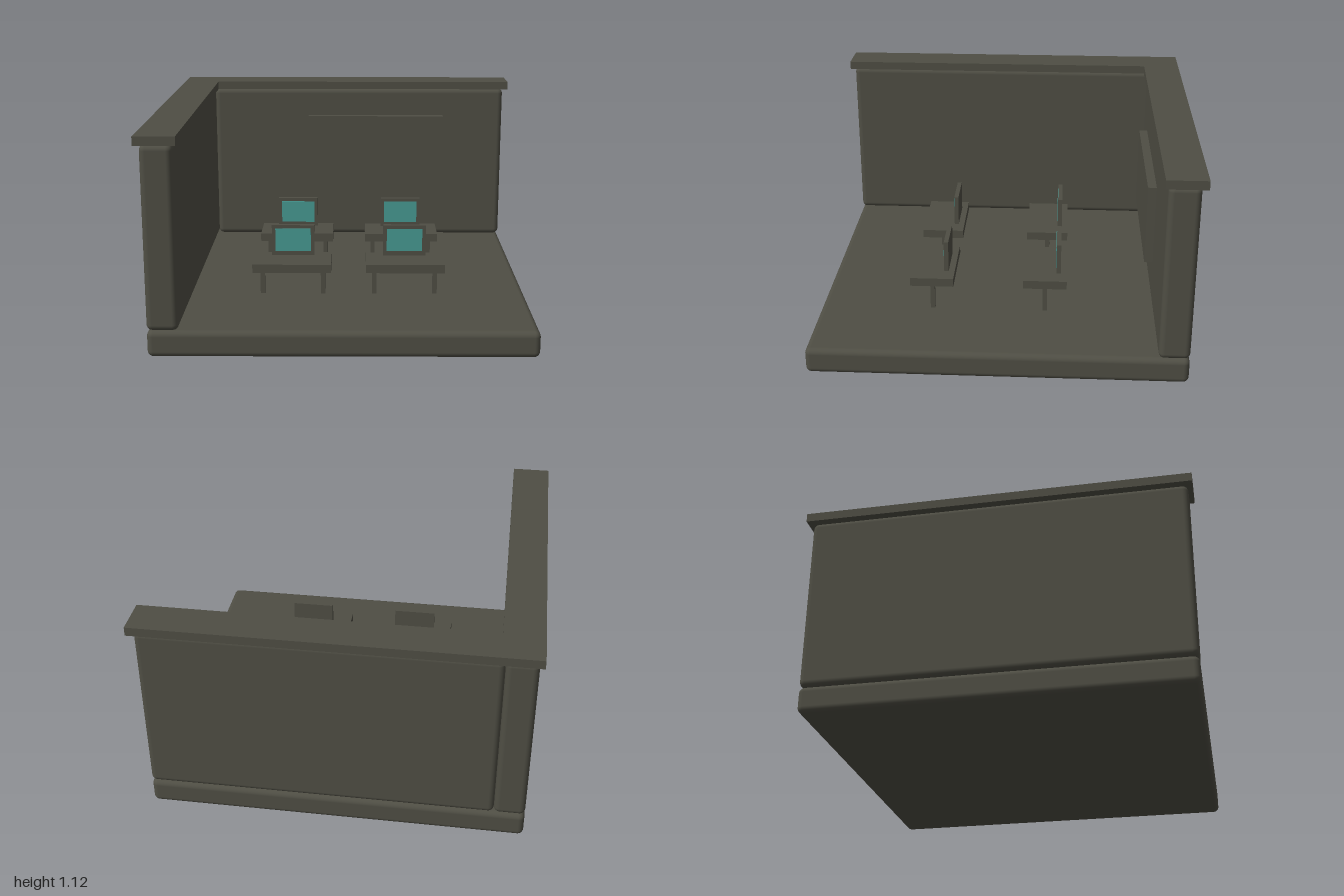
import * as THREE from 'three';
import { RoundedBoxGeometry } from 'three/addons/geometries/RoundedBoxGeometry.js';

export function createModel() {
  const room = new THREE.Group();
  room.name = 'classroom';
  const stone = new THREE.MeshStandardMaterial({ color: 0x4f4e44 });
  stone.name = 'dark olive grey';
  const teal = new THREE.MeshStandardMaterial({ color: 0x479a93 });
  teal.name = 'screen teal';

  // Box given by its [min, max] range on each axis; radius rounds its edges
  function block(parent, name, [x0, x1], [y0, y1], [z0, z1], material = stone, radius = 0) {
    const size = [x1 - x0, y1 - y0, z1 - z0];
    const geometry = radius
      ? new RoundedBoxGeometry(...size, 4, radius)
      : new THREE.BoxGeometry(...size);
    const mesh = new THREE.Mesh(geometry, material);
    mesh.name = name;
    mesh.position.set((x0 + x1) / 2, (y0 + y1) / 2, (z0 + z1) / 2);
    parent.add(mesh);
    return mesh;
  }

  // Floor slab and the two walls standing on it
  block(room, 'floor', [-0.977, 0.973], [0, 0.137], [-0.973, 0.977], stone, 0.03);
  block(room, 'sideWall', [-0.977, -0.818], [0.138, 1.074], [-0.973, 0.977], stone, 0.03);
  block(room, 'backWall', [-0.818, 0.973], [0.138, 1.074], [-0.973, -0.814], stone, 0.03);

  // Flat wall caps forming an L
  block(room, 'sideWallCap', [-1, -0.795], [1.074, 1.12], [-1, 1]);
  block(room, 'backWallCap', [-0.795, 1], [1.074, 1.12], [-1, -0.795]);

  // Board hung just in front of the back wall
  block(room, 'board', [-0.235, 0.6], [0.495, 0.912], [-0.79, -0.746]);

  // Desk with two legs, a monitor and its screen
  function desk(x, z) {
    const group = new THREE.Group();
    group.name = 'desk';
    group.position.set(x, 0, z);
    block(group, 'deskTop', [-0.209, 0.209], [0.285, 0.331], [-0.116, 0.116]);
    for (const side of [-1, 1]) {
      const lx = side * 0.163;
      block(group, 'leg', [lx - 0.012, lx + 0.012], [0.13, 0.286], [-0.012, 0.012]);
    }
    block(group, 'monitor', [-0.115, 0.115], [0.331, 0.5], [-0.083, -0.059]);
    block(group, 'screen', [-0.096, 0.096], [0.356, 0.481], [-0.059, -0.056], teal);
    room.add(group);
  }
  for (const x of [-0.282, 0.322]) {
    for (const z of [-0.234, 0.371]) desk(x, z);
  }
  return room;
}
